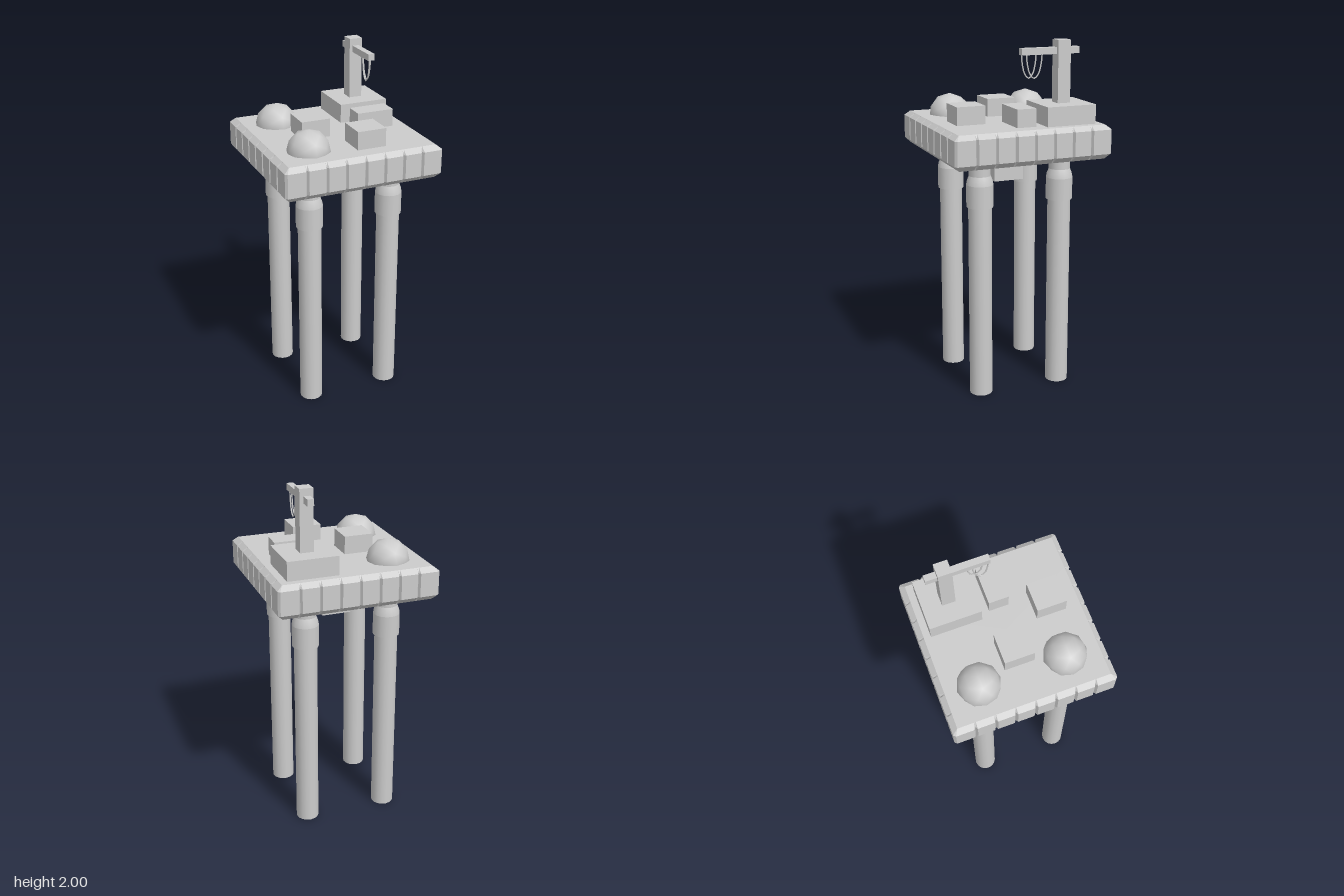
import * as THREE from 'three';
import { mergeVertices } from 'three/addons/utils/BufferGeometryUtils.js';

export function createModel() {
  const model = new THREE.Group();
  const grey = new THREE.MeshStandardMaterial({ color: 0xcccccc, side: THREE.DoubleSide });
  grey.name = 'concreteGrey';

  const add = (name, geometry, x = 0, y = 0, z = 0) => {
    const mesh = new THREE.Mesh(geometry, grey);
    mesh.name = name;
    mesh.position.set(x, y, z);
    model.add(mesh);
    return mesh;
  };
  // box given by its limits on each axis
  const block = (name, x0, x1, y0, y1, z0, z1) =>
    add(name, new THREE.BoxGeometry(x1 - x0, y1 - y0, z1 - z0),
      (x0 + x1) / 2, (y0 + y1) / 2, (z0 + z1) / 2);

  add('deck', deckGeometry());

  // legs with a thicker collar, tapered to a neck under the deck
  const tube = new THREE.CylinderGeometry(0.065, 0.065, 1.11, 16, 1, true);
  const collarSections = [
    [[0.065, 1.11], [0.075, 1.11]],
    [[0.075, 1.11], [0.075, 1.235]],
    [[0.075, 1.235], [0.07, 1.26], [0.06, 1.285]],
    [[0.06, 1.285], [0.06, 1.37]],
  ].map(s => new THREE.LatheGeometry(s.map(p => new THREE.Vector2(...p)), 16));
  for (const x of [-0.24, 0.24]) {
    for (const z of [-0.24, 0.24]) {
      add('leg', tube, x, 0.555, z);
      for (const g of collarSections) add('legCollar', g, x, 0, z);
    }
  }

  // faceted but smooth-shaded domes, half sunk in the deck
  let ball = new THREE.IcosahedronGeometry(0.12, 1);
  ball.deleteAttribute('uv');
  ball.deleteAttribute('normal');
  ball = mergeVertices(ball);
  ball.computeVertexNormals();
  add('dome', ball, -0.24, 1.55, -0.24);
  add('dome', ball, -0.24, 1.55, 0.24);

  // deck housings and the unit hung below
  block('craneBase', 0.098, 0.384, 1.54, 1.657, -0.386, -0.098);
  block('longHousing', 0.131, 0.346, 1.54, 1.65, -0.047, 0.064);
  block('frontHousing', 0.001, 0.166, 1.54, 1.652, 0.176, 0.341);
  block('sideHousing', -0.213, -0.047, 1.54, 1.652, -0.086, 0.08);
  block('undersideUnit', -0.085, 0.085, 1.2, 1.37, -0.085, 0.09);

  // crane
  block('cranePost', 0.201, 0.277, 1.64, 2, -0.281, -0.206);
  block('craneArm', 0.219, 0.256, 1.923, 1.96, -0.344, 0);

  // hanging cable loops
  for (const [x, z0, z1] of [[0.23, -0.008, -0.095], [0.247, -0.03, -0.123]]) {
    const at = (t, y) => new THREE.Vector3(x, y, z0 + (z1 - z0) * t);
    const curve = new THREE.CatmullRomCurve3([
      at(0, 1.93), at(0.06, 1.875), at(0.23, 1.82), at(0.5, 1.796),
      at(0.77, 1.82), at(0.94, 1.875), at(1, 1.93),
    ]);
    add('cable', new THREE.TubeGeometry(curve, 20, 0.004, 6));
  }
  return model;
}

// square slab with V grooves around the sides and bevelled rims
function deckGeometry() {
  const half = 0.455, inner = 0.424, depth = 0.014, w = 0.009;
  const side = [[-0.443, half]];
  for (let k = -3; k <= 3; k++) {
    const u = k * 0.111;
    side.push([u - w, half], [u, half - depth], [u + w, half]);
  }
  side.push([0.443, half]);

  const outline = [];
  for (let s = 0; s < 4; s++) {
    const c = Math.round(Math.cos(s * Math.PI / 2)), n = Math.round(Math.sin(s * Math.PI / 2));
    for (const [u, d] of side) outline.push([u * c + d * n, d * c - u * n]);
  }
  const clamp = v => THREE.MathUtils.clamp(v, -inner, inner);
  const rim = outline.map(p => p.map(clamp));
  const rings = [[rim, 1.36], [outline, 1.39], [outline, 1.525], [rim, 1.55]]
    .map(([r, y]) => r.map(([x, z]) => [x, y, z]));

  const pos = [];
  const tri = (...corners) => corners.forEach(p => pos.push(...p));
  const count = outline.length;
  for (let i = 0; i < count; i++) {
    const j = (i + 1) % count;
    for (let r = 0; r < 3; r++) {
      const a = rings[r], b = rings[r + 1];
      tri(a[i], a[j], b[j]);
      tri(a[i], b[j], b[i]);
    }
    tri([0, 1.55, 0], rings[3][i], rings[3][j]);
    tri([0, 1.36, 0], rings[0][j], rings[0][i]);
  }
  const g = new THREE.BufferGeometry();
  g.setAttribute('position', new THREE.Float32BufferAttribute(pos, 3));
  g.computeVertexNormals();
  return g;
}
